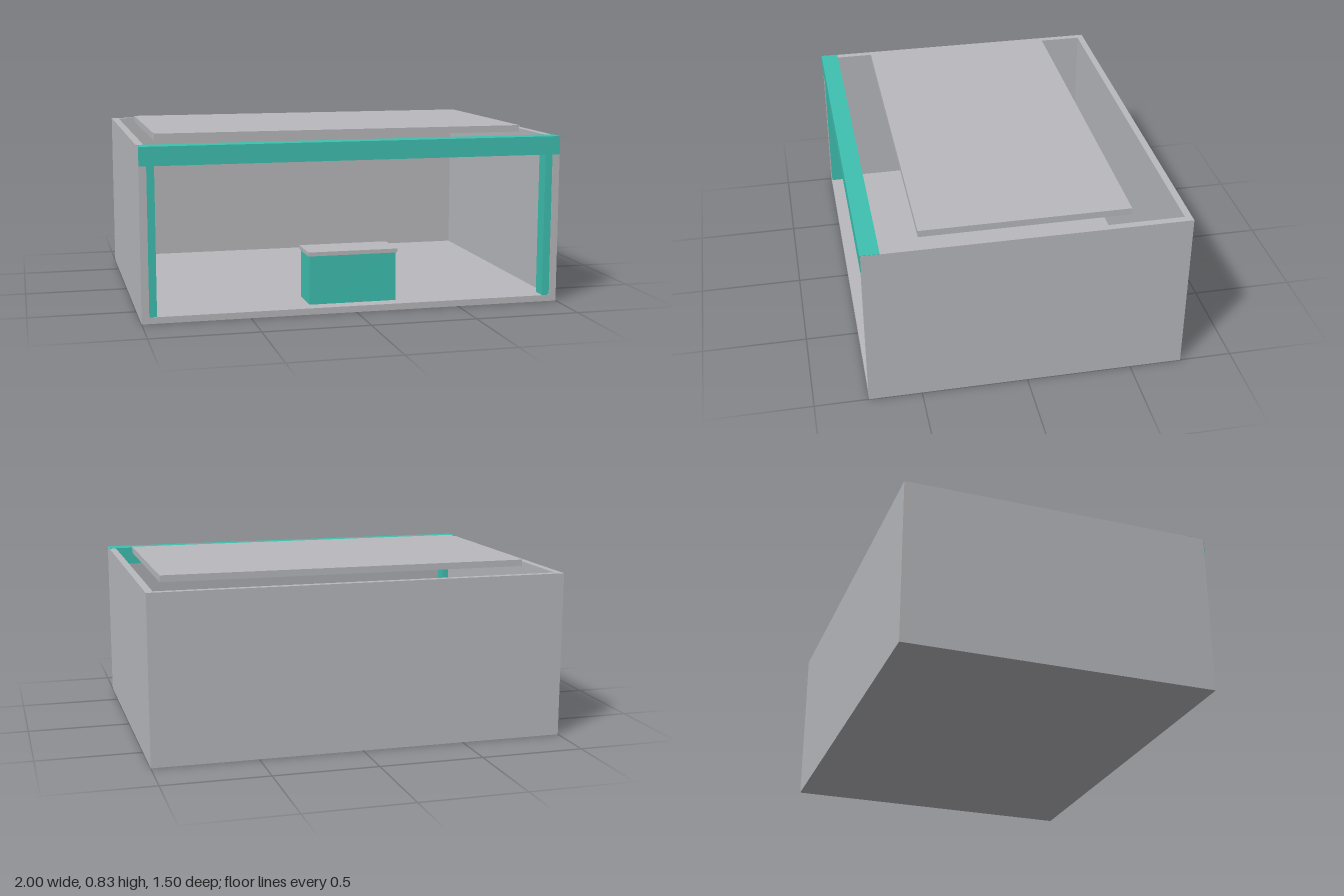
import * as THREE from 'three';

export function createModel() {
  const group = new THREE.Group();
  const grey = new THREE.MeshStandardMaterial({ color: 0xb9babe });
  grey.name = 'grey panel';
  const teal = new THREE.MeshStandardMaterial({ color: 0x3fc1b2 });
  teal.name = 'teal trim';

  // Box given by its lower and upper limits on each axis
  function box(name, material, [x0, x1], [y0, y1], [z0, z1]) {
    const mesh = new THREE.Mesh(new THREE.BoxGeometry(x1 - x0, y1 - y0, z1 - z0), material);
    mesh.position.set((x0 + x1) / 2, (y0 + y1) / 2, (z0 + z1) / 2);
    mesh.name = name;
    group.add(mesh);
  }

  // Open-fronted shell
  box('floor', grey, [-0.965, 0.965], [0, 0.03], [-0.72, 0.747]);
  box('backWall', grey, [-1, 1], [0, 0.8], [-0.75, -0.717]);
  box('rightWall', grey, [-1, -0.965], [0, 0.8], [-0.717, 0.747]);
  box('leftWall', grey, [0.965, 1], [0, 0.8], [-0.717, 0.747]);

  // Front frame: two posts and the beam across the top
  box('rightPost', teal, [-0.97, -0.93], [0.02, 0.73], [0.67, 0.744]);
  box('leftPost', teal, [0.93, 0.97], [0.02, 0.73], [0.67, 0.744]);
  box('frontBeam', teal, [-0.999, 0.999], [0.715, 0.802], [0.662, 0.75]);

  // Raised roof panel, smaller than the opening
  box('roofPanel', grey, [-0.9, 0.9], [0.8, 0.832], [-0.49, 0.483]);

  // Counter with overhanging top
  box('counterBody', teal, [-0.21, 0.21], [0.02, 0.262], [0.495, 0.675]);
  box('counterTop', grey, [-0.216, 0.216], [0.261, 0.28], [0.49, 0.68]);

  return group;
}
